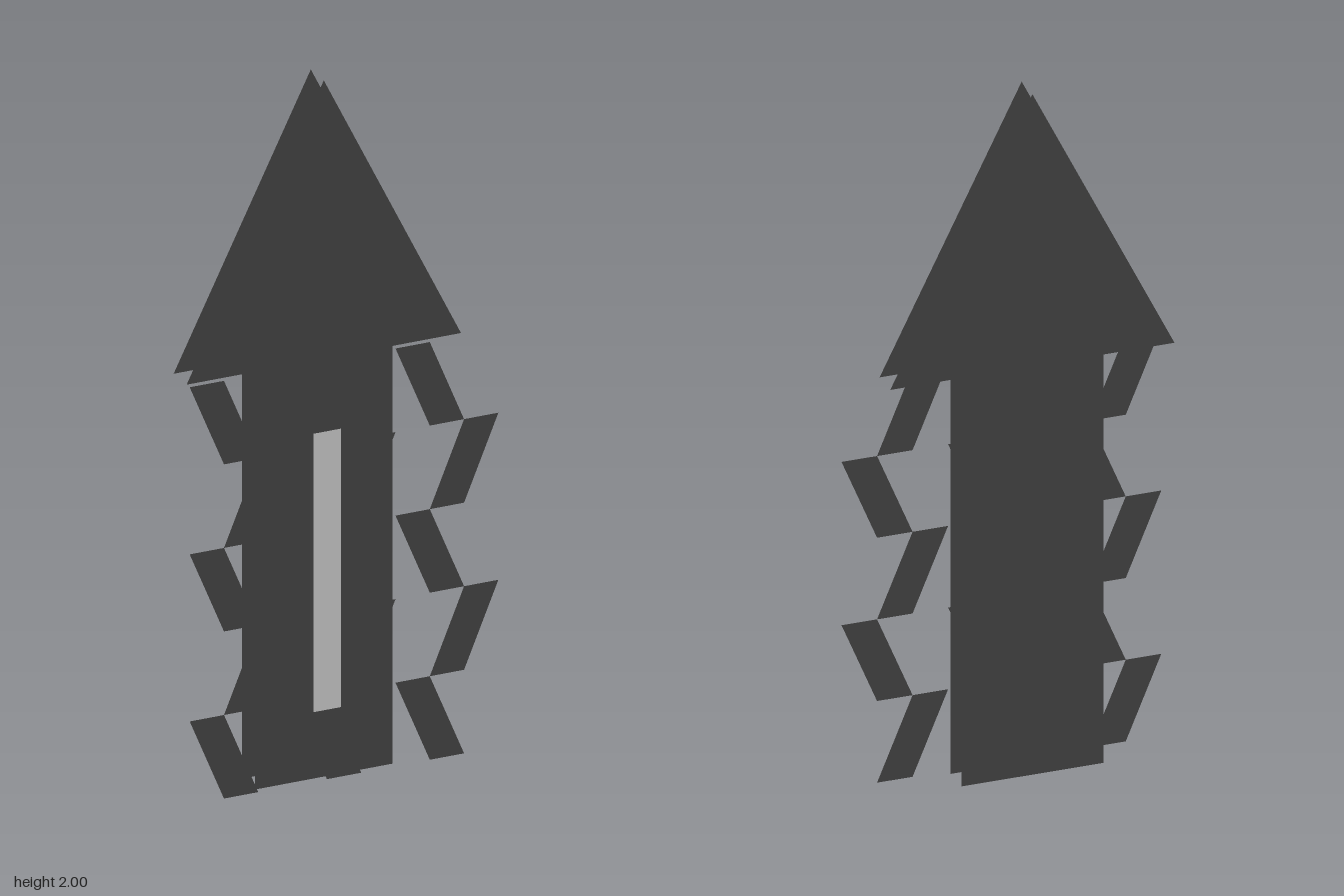
import * as THREE from 'three';

const material = (name, color) =>
  new THREE.MeshStandardMaterial({ name, color, side: THREE.DoubleSide });

// flat sheet facing +z from a list of outline points
function sheet(name, points, z, mat) {
  const shape = new THREE.Shape(points.map(([x, y]) => new THREE.Vector2(x, y)));
  const mesh = new THREE.Mesh(new THREE.ShapeGeometry(shape), mat);
  mesh.name = name;
  mesh.position.z = z;
  return mesh;
}

export function createModel() {
  const model = new THREE.Group();
  model.name = 'arrowSign';
  const dark = material('charcoal', 0x404040);
  const light = material('silver', 0xc0c0c0);

  // two parallel arrow plates: pointed head on a straight shaft
  const arrow = [
    [-0.25, 0], [0.15, 0], [0.15, 1.2], [0.35, 1.2],
    [-0.05, 2], [-0.45, 1.2], [-0.25, 1.2],
  ];
  model.add(sheet('backArrow', arrow, -0.05, dark));
  model.add(sheet('frontArrow', arrow, 0.03, dark));

  // three zigzag ribbons, each five slanted pieces of alternating lean
  const step = 0.24;
  ['rightZigzag', 'middleZigzag', 'leftZigzag'].forEach((name, column) => {
    const ribbon = new THREE.Group();
    ribbon.name = name;
    ribbon.position.x = -0.45 + column * 0.3;
    for (let i = 0; i < 5; i++) {
      const bottom = i * step, top = bottom + step;
      const [a, b] = i % 2 ? [0.1, 0.2] : [0.1, 0]; // left edge at bottom and top
      ribbon.add(sheet('zigzagPiece',
        [[a, bottom], [a + 0.1, bottom], [b + 0.1, top], [b, top]], 0.049, dark));
    }
    model.add(ribbon);
  });

  // pale stripe down the shaft
  model.add(sheet('stripe', [[-0.09, 0.2], [-0.01, 0.2], [-0.01, 1], [-0.09, 1]], 0.05, light));
  return model;
}
